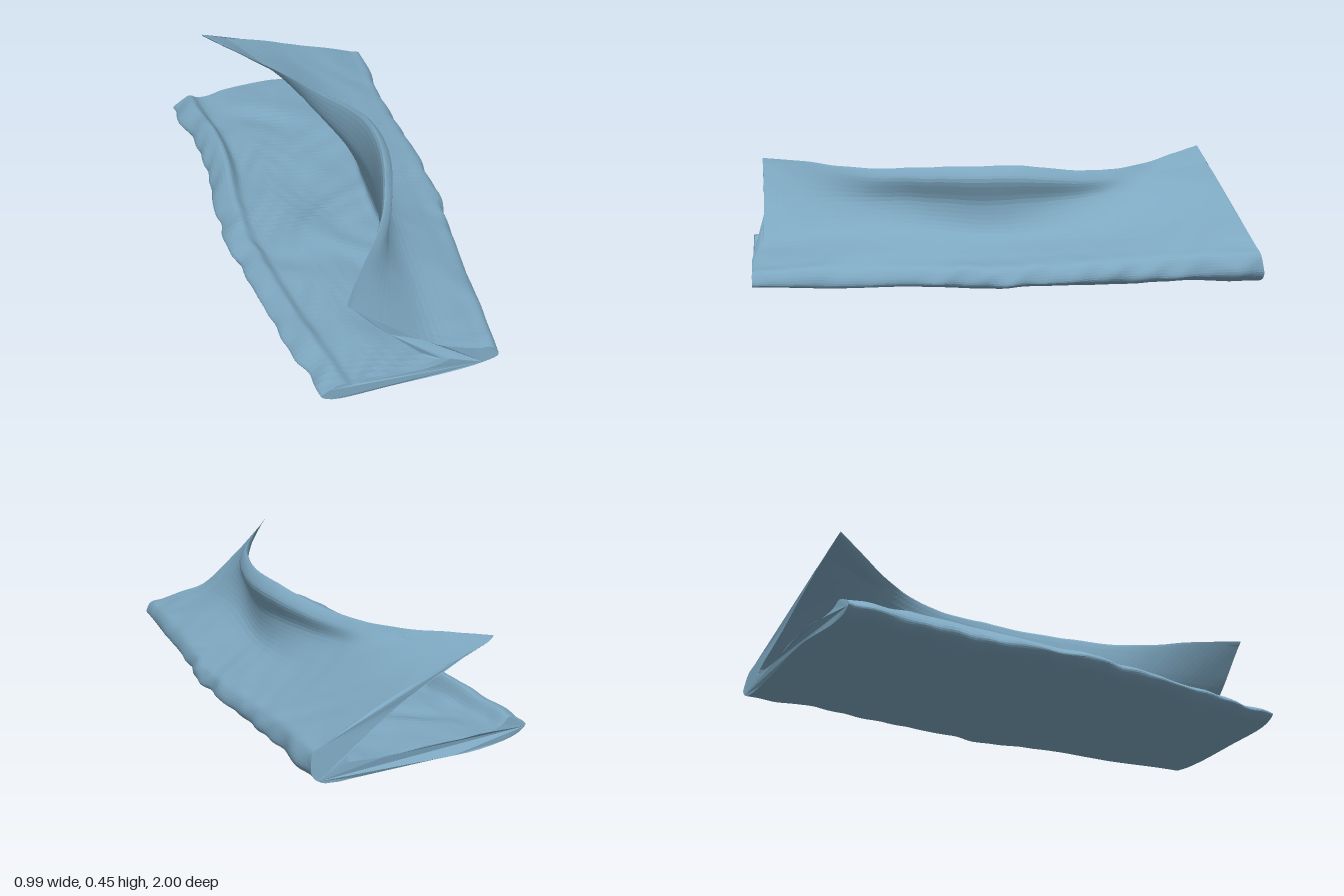
import * as THREE from 'three';

// Section values at five stations, from the back (z = -1) to the front (z = +1)
const STATIONS = [-1, -0.5, 0, 0.5, 1];
const leftEdge = [-0.46, -0.43, -0.49, -0.46, -0.40];
const rightEdge = [0.49, 0.455, 0.45, 0.37, 0.30];
const hemHeight = [0.10, 0.08, 0.07, 0.06, 0.05];
const leftRoll = [0.09, 0.13, 0.09, 0.09, 0.08];
// Turned-back flap: [x, y] per station, from the hem up to its free edge
const shoulder = [[0.42, 0.15], [0.36, 0.14], [0.33, 0.12], [0.28, 0.125], [0.22, 0.09]];
const slope = [[0.17, 0.25], [0.18, 0.20], [0.19, 0.18], [0.11, 0.20], [0.06, 0.13]];
const upper = [[-0.05, 0.33], [0.06, 0.30], [0.16, 0.29], [0.05, 0.30], [-0.12, 0.26]];
const tip = [[-0.30, 0.42], [0.01, 0.39], [0.155, 0.45], [0.03, 0.43], [-0.29, 0.42]];
const rim = [0.008, 0.03, 0.04, 0.03, 0.008];
// Where the inside of the flap meets the base
const crease = [0.34, 0.24, 0.15, 0.14, 0.10];

const shift = (p, dx, dy) => [p[0] + dx, p[1] + dy];

// Closed cross-section, anticlockwise as seen from the front
function section(k) {
  const l = leftEdge[k], r = rightEdge[k];
  return [
    [l + 0.04, 0.018], [-0.1, 0.008], [r - 0.06, 0.012], [r, hemHeight[k] * 0.6],
    [r - 0.02, hemHeight[k] + 0.03],
    shoulder[k], slope[k], upper[k], shift(tip[k], rim[k], -rim[k] - 0.004), tip[k],
    shift(upper[k], -0.03, -0.01), shift(slope[k], -0.04, -0.03),
    [crease[k], 0.07], [crease[k] - 0.1, 0.058], [-0.2, 0.068],
    [l + 0.13, 0.062], [l + 0.08, leftRoll[k]], [l, 0.05],
  ];
}

// Broad folds, small wrinkles and a lump in the middle of the base
function folds(x, z) {
  const u = x + 0.09 * Math.sin(5.3 * z + 1) + 0.04 * Math.sin(12.7 * z);
  const v = z + 0.10 * Math.sin(8.1 * x + 2);
  return 0.008 * Math.sin(11 * u + 3 * v) * Math.cos(4.7 * v)
    + 0.005 * Math.sin(19 * u - 7 * v) * Math.sin(6.1 * v + 2)
    + 0.003 * Math.sin(37 * u + 13 * v) * Math.sin(17 * v)
    + 0.025 * Math.exp(-(((x + 0.17) / 0.1) ** 2) - ((z - 0.12) / 0.18) ** 2);
}

// Uneven waviness of the side hems
const hemWave = (s, y) => 0.008 * Math.sin(13 * s + 2 * Math.sin(7 * s))
  + 0.005 * Math.sin(43 * s + 40 * y) * Math.sin(5 * s + 1);

function clothGeometry(rows = 80, perSegment = 6) {
  const sections = STATIONS.map((_, k) => section(k));
  const rails = sections[0].map((_, j) => new THREE.CatmullRomCurve3(
    STATIONS.map((s, k) => new THREE.Vector3(sections[k][j][0], sections[k][j][1], s))));
  const count = rails.length * perSegment;
  const positions = [], index = [], rings = [];

  for (let i = 0; i <= rows; i++) {
    const s = -1 + 2 * i / rows;
    const guide = rails.map(rail => rail.getPoint(i / rows).setZ(0));
    const loop = new THREE.CatmullRomCurve3(guide, true, 'centripetal');
    const ring = [];
    for (let j = 0; j < count; j++) {
      const p = loop.getPoint(j / count);
      const lift = THREE.MathUtils.smoothstep(p.y, 0.07, 0.16);
      const hem = THREE.MathUtils.smoothstep(Math.abs(p.x), 0.3, 0.46) * (1 - lift);
      const topSide = THREE.MathUtils.smoothstep(p.y, 0.02, 0.06);
      const x = p.x + hem * Math.sign(p.x) * hemWave(s, p.y);
      const y = Math.max(0.003, p.y + folds(p.x, s) * topSide * (1 - 0.6 * lift)
        + 0.003 * (1 - topSide) * Math.sin(12 * s + 9 * p.x));
      // the flap's ends sit inside the ends of the base, and the back end runs slightly askew
      const inset = s < 0
        ? 0.17 * Math.max(0, p.y - 0.05) + 0.04 * THREE.MathUtils.smoothstep(-p.x, 0.1, 0.46) * (1 - lift)
        : 0.045 * lift;
      const z = s * (0.995 - inset) + 0.005 * Math.sin(9 * p.x) * Math.abs(s);
      ring.push(new THREE.Vector2(x, y));
      positions.push(x, y, z);
    }
    rings.push(ring);
  }

  for (let i = 0; i < rows; i++) {
    for (let j = 0; j < count; j++) {
      const a = i * count + j, b = i * count + (j + 1) % count;
      index.push(a, b, a + count, b, b + count, a + count);
    }
  }
  // Close both ends
  for (const row of [0, rows]) {
    const o = row * count;
    for (const [a, b, c] of THREE.ShapeUtils.triangulateShape(rings[row], [])) {
      if (row === 0) index.push(o + a, o + c, o + b);
      else index.push(o + a, o + b, o + c);
    }
  }

  const geometry = new THREE.BufferGeometry();
  geometry.setAttribute('position', new THREE.Float32BufferAttribute(positions, 3));
  geometry.setIndex(index);
  geometry.computeVertexNormals();
  return geometry;
}

export function createModel() {
  const group = new THREE.Group();
  group.name = 'foldedBedding';
  const material = new THREE.MeshStandardMaterial({
    color: 0x7da7c0, flatShading: true, side: THREE.DoubleSide,
  });
  const cloth = new THREE.Mesh(clothGeometry(), material);
  cloth.name = 'clothWithRaisedFlap';
  group.add(cloth);
  return group;
}
